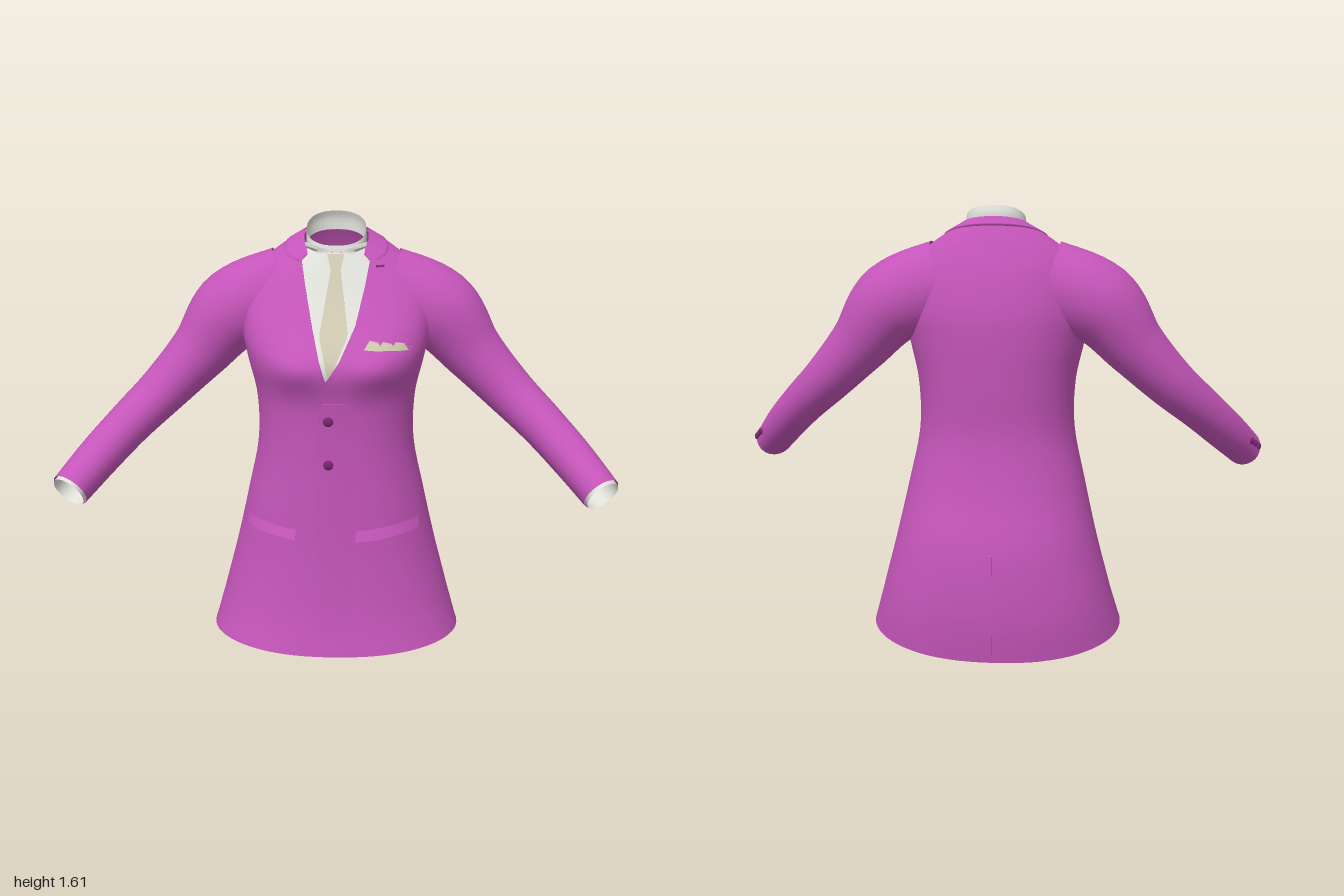
import * as THREE from 'three';
import { toCreasedNormals } from 'three/addons/utils/BufferGeometryUtils.js';

const mat = (name, color) => {
  const m = new THREE.MeshStandardMaterial({ color, side: THREE.DoubleSide });
  m.name = name;
  return m;
};

// Catmull-Rom value of column c in a table of rows
function spline(rows, c, t) {
  const n = rows.length - 1;
  const i = Math.min(Math.floor(t), n - 1), f = t - i;
  const p = k => rows[Math.max(0, Math.min(n, k))][c];
  const a = p(i - 1), b = p(i), d = p(i + 1), e = p(i + 2);
  return b + 0.5 * f * (d - a + f * (2 * a - 5 * b + 4 * d - e + f * (3 * (b - d) + e - a)));
}

// Point at fraction v along a polyline of [x, y]
function along(pts, v) {
  const t = v * (pts.length - 1), i = Math.min(Math.floor(t), pts.length - 2), f = t - i;
  return [0, 1].map(k => pts[i][k] + (pts[i + 1][k] - pts[i][k]) * f);
}

// Surface from a function of grid indices; closed wraps around in i
function grid(nu, nv, fn, closed = false) {
  const pos = [], idx = [], cols = closed ? nu : nu + 1;
  for (let j = 0; j <= nv; j++) for (let i = 0; i < cols; i++) pos.push(...fn(i, j));
  for (let j = 0; j < nv; j++) for (let i = 0; i < nu; i++) {
    const k = (i + 1) % cols, a = j * cols + i, b = j * cols + k;
    idx.push(a, a + cols, b, b, a + cols, b + cols);
  }
  const g = new THREE.BufferGeometry();
  g.setAttribute('position', new THREE.Float32BufferAttribute(pos, 3));
  g.setIndex(idx);
  g.computeVertexNormals();
  return g;
}

// Body rings: front height, back height, half width, front z, back z
const BODY = [
  [0.055, 0.0, 0.468, 0.32, -0.338],
  [0.2, 0.17, 0.43, 0.29, -0.355],
  [0.4, 0.39, 0.375, 0.268, -0.342],
  [0.6, 0.6, 0.328, 0.258, -0.292],
  [0.8, 0.8, 0.287, 0.252, -0.262],
  [0.97, 0.98, 0.288, 0.257, -0.272],
  [1.11, 1.13, 0.318, 0.278, -0.28],
  [1.19, 1.25, 0.338, 0.245, -0.276],
  [1.27, 1.38, 0.333, 0.185, -0.247],
  [1.345, 1.465, 0.295, 0.132, -0.215],
  [1.42, 1.527, 0.215, 0.085, -0.187],
  [1.49, 1.575, 0.115, 0.043, -0.16],
];
const TOP = BODY.length - 1;

function ringPoint(rows, t, th, grow = 0) {
  const [yf, yb, w, zf, zb] = [0, 1, 2, 3, 4].map(c => spline(rows, c, t));
  const pw = v => Math.sign(v) * Math.pow(Math.abs(v), 2 / 2.3);
  const s = pw(Math.sin(th)), x = (w + grow) * pw(Math.cos(th));
  return [x, yb + (yf - yb) * (s + 1) / 2, (zf + zb) / 2 + s * ((zf - zb) / 2 + grow)];
}

function bodyPoint(t, th, grow = 0) {
  const p = ringPoint(BODY, t, th, grow);
  p[1] += 0.03 * Math.max(0, 1 - t) * Math.cos(th) ** 2;
  if (p[2] > 0) { // chest fullness
    const dx = (Math.abs(p[0]) - 0.14) / 0.1, dy = (p[1] - 1.12) / 0.075;
    p[2] += 0.032 * Math.exp(-dx * dx - dy * dy);
  }
  return p;
}

// Sleeve stations: centre x, y, z, vertical radius, depth radius
const ARM = [
  [0.18, 1.335, -0.08, 0.16, 0.14],
  [0.37, 1.265, -0.075, 0.15, 0.152],
  [0.5, 1.115, -0.06, 0.112, 0.122],
  [0.63, 0.98, -0.02, 0.092, 0.103],
  [0.75, 0.87, 0.06, 0.082, 0.093],
  [0.85, 0.772, 0.16, 0.077, 0.088],
  [0.935, 0.682, 0.275, 0.07, 0.083],
];
const armCentre = t => new THREE.Vector3(...[0, 1, 2].map(c => spline(ARM, c, t)));
function armPoint(t, th, side, shrink = 0, extend = 0) {
  const c = armCentre(t);
  const T = armCentre(Math.min(6, t + 0.05)).sub(armCentre(Math.max(0, t - 0.05))).normalize();
  const N = new THREE.Vector3(0, 0, 1).addScaledVector(T, -T.z).normalize();
  const B = new THREE.Vector3().crossVectors(T, N);
  c.addScaledVector(T, extend)
    .addScaledVector(B, (spline(ARM, 3, t) - shrink) * Math.cos(th))
    .addScaledVector(N, (spline(ARM, 4, t) - shrink) * Math.sin(th));
  return [side * c.x, c.y, c.z];
}

export function createModel() {
  const group = new THREE.Group();
  const cloth = mat('purple cloth', 0xc455b9);
  const linen = mat('white linen', 0xdfe0da);
  const silk = mat('cream silk', 0xcfc8b0);
  const dark = mat('dark plum', 0x7a2670);
  const add = (name, geo, m) => {
    const mesh = new THREE.Mesh(geo, m);
    mesh.name = name;
    group.add(mesh);
    return mesh;
  };
  const TAU = Math.PI * 2;

  // Coat body and the fold collar round the neck
  const body = add('coatBody', grid(72, 77, (i, j) => bodyPoint(j / 77 * TOP, i / 72 * TAU), true), cloth);
  add('coatCollar', grid(48, 8, (i, j) => {
    const th = Math.PI * (-1.3 + 1.6 * i / 48);
    const edge = j === 0 || i === 0 || i === 48;
    return bodyPoint(TOP - 0.75 + 0.75 * j / 8, th, edge ? -0.004 : 0.009);
  }), cloth);

  // Cast onto a mesh along an axis
  const ray = new THREE.Raycaster();
  const cast = (mesh, from, dir) => {
    ray.set(new THREE.Vector3(...from), new THREE.Vector3(...dir));
    return ray.intersectObject(mesh)[0];
  };
  const bodyZ = (x, y, dir) => {
    const hit = cast(body, [x, y, 2 * dir], [0, 0, -dir]);
    return hit && hit.point.z * dir > -0.1 ? hit.point.z : dir * 0.04;
  };

  // Thin panel laid on the body between two edge lines
  const panel = (name, left, right, m, off, dir = 1, nu = 8, nv = 20) => {
    const clamp = v => Math.max(0, Math.min(1, v));
    const geo = grid(nu + 2, nv + 2, (i, j) => {
      const u = clamp((i - 1) / nu), v = clamp((j - 1) / nv);
      const a = along(left, v), b = along(right, v);
      const x = a[0] + (b[0] - a[0]) * u, y = a[1] + (b[1] - a[1]) * u;
      const rim = i === 0 || j === 0 || i === nu + 2 || j === nv + 2;
      const lift = rim ? -0.003 : typeof off === 'function' ? off(u, v) : off;
      return [x, y, bodyZ(x, y, dir) + dir * lift];
    });
    return add(name, toCreasedNormals(geo, 0.7), m);
  };

  // Shirt front, lapels and tie
  const innerL = [[0.125, 1.49], [0.102, 1.38], [0.07, 1.26], [0.015, 1.15], [-0.03, 1.085]];
  const innerR = [[-0.125, 1.49], [-0.105, 1.38], [-0.08, 1.26], [-0.052, 1.15], [-0.032, 1.085]];
  panel('shirtFront', innerR, innerL, linen, 0.004, 1, 12, 24);
  panel('rightLapel', [[-0.225, 1.47], [-0.185, 1.38], [-0.135, 1.26], [-0.085, 1.14], [-0.05, 1.04]],
    [...innerR.slice(0, 4), [-0.032, 1.06]], cloth, 0.009);
  panel('leftLapel', [...innerL, [-0.057, 0.99]],
    [[0.225, 1.47], [0.19, 1.38], [0.135, 1.27], [0.07, 1.17], [0.0, 1.075], [-0.052, 0.985]], cloth, 0.011);
  panel('tieBlade', [[-0.016, 1.44], [-0.034, 1.34], [-0.054, 1.23], [-0.022, 1.095]],
    [[0.016, 1.44], [0.03, 1.34], [0.044, 1.23], [-0.018, 1.095]], silk, 0.01);
  panel('tieKnot', [[-0.03, 1.485], [-0.016, 1.43]], [[0.03, 1.485], [0.016, 1.43]], silk, 0.018, 1, 6, 6);
  panel('lapelButtonhole', [[0.14, 1.447], [0.141, 1.441]], [[0.17, 1.447], [0.17, 1.441]], dark, 0.014, 1, 2, 1);

  // Shirt collar stand and points
  const STAND = [[1.46, 1.545, 0.107, 0.042, -0.152], [1.49, 1.585, 0.108, 0.042, -0.152], [1.512, 1.613, 0.106, 0.036, -0.142]];
  add('shirtCollar', grid(48, 8, (i, j) => ringPoint(STAND, j / 4, i / 48 * TAU), true), linen);
  for (const s of [-1, 1]) {
    panel('collarPoint', [[s * 0.108, 1.525], [s * 0.088, 1.432]], [[s * 0.018, 1.497], [s * 0.08, 1.432]],
      linen, 0.014, 1, 6, 8);
  }

  // Front overlap and back vent: each lifts at its free edge
  const taper = u => 0.009 * (1 - u);
  panel('frontOverlap', [[-0.057, 1.0], [-0.06, 0.5], [-0.058, 0.1], [-0.035, 0.068]],
    [[0.06, 1.0], [0.06, 0.5], [0.06, 0.1], [0.06, 0.066]], cloth, taper, 1, 6, 30);
  panel('backVent', [[-0.012, 0.4], [-0.012, 0.01]], [[0.1, 0.4], [0.1, 0.015]], cloth, taper, -1, 6, 20);

  // Hip pocket flaps, breast pocket and folded square
  const flapLift = (u, v) => 0.002 + 0.014 * v;
  panel('leftPocketFlap', [[0.075, 0.525], [0.075, 0.487]], [[0.305, 0.54], [0.305, 0.505]], cloth, flapLift, 1, 12, 4);
  panel('rightPocketFlap', [[-0.33, 0.54], [-0.33, 0.505]], [[-0.14, 0.525], [-0.14, 0.492]], cloth, flapLift, 1, 12, 4);
  panel('breastPocket', [[0.085, 1.205], [0.085, 1.178]], [[0.27, 1.185], [0.265, 1.152]], cloth, 0.014, 1, 10, 4);
  for (const [x, y, h] of [[0.1, 1.192, 0.024], [0.145, 1.19, 0.02], [0.19, 1.185, 0.021]]) {
    panel('pocketSquare', [[x + 0.02, y + h], [x, y]], [[x + 0.05, y + h - 0.007], [x + 0.065, y - 0.006]],
      silk, 0.02, 1, 4, 4);
  }

  // Buttons are flattened domes set along the surface normal
  const button = (name, hit, r) => {
    if (!hit) return;
    const b = add(name, new THREE.SphereGeometry(r, 16, 10), dark);
    const n = hit.face.normal.clone();
    if (n.dot(ray.ray.direction) > 0) n.negate();
    b.position.copy(hit.point).addScaledVector(n, 0.008);
    b.quaternion.setFromUnitVectors(new THREE.Vector3(0, 0, 1), n);
    b.scale.z = 0.55;
  };
  for (const y of [0.935, 0.775]) button('frontButton', cast(body, [-0.022, y, 2], [0, 0, -1]), 0.018);

  // Sleeves with shirt cuffs and cuff buttons
  for (const s of [-1, 1]) {
    const label = s > 0 ? 'left' : 'right';
    const sleeve = add(label + 'Sleeve', grid(40, 48, (i, j) => armPoint(j / 8, i / 40 * TAU, s), true), cloth);
    add(label + 'ShirtCuff', grid(40, 6, (i, j) =>
      armPoint(5.4 + j / 10, i / 40 * TAU, s, 0.007, 0.01 * j / 6), true), linen);
    for (const [y, z] of [[0.7, 0.205], [0.715, 0.18], [0.73, 0.155]]) {
      button('cuffButton', cast(sleeve, [2 * s, y, z], [-s, 0, 0]), 0.013);
    }
  }
  return group;
}
